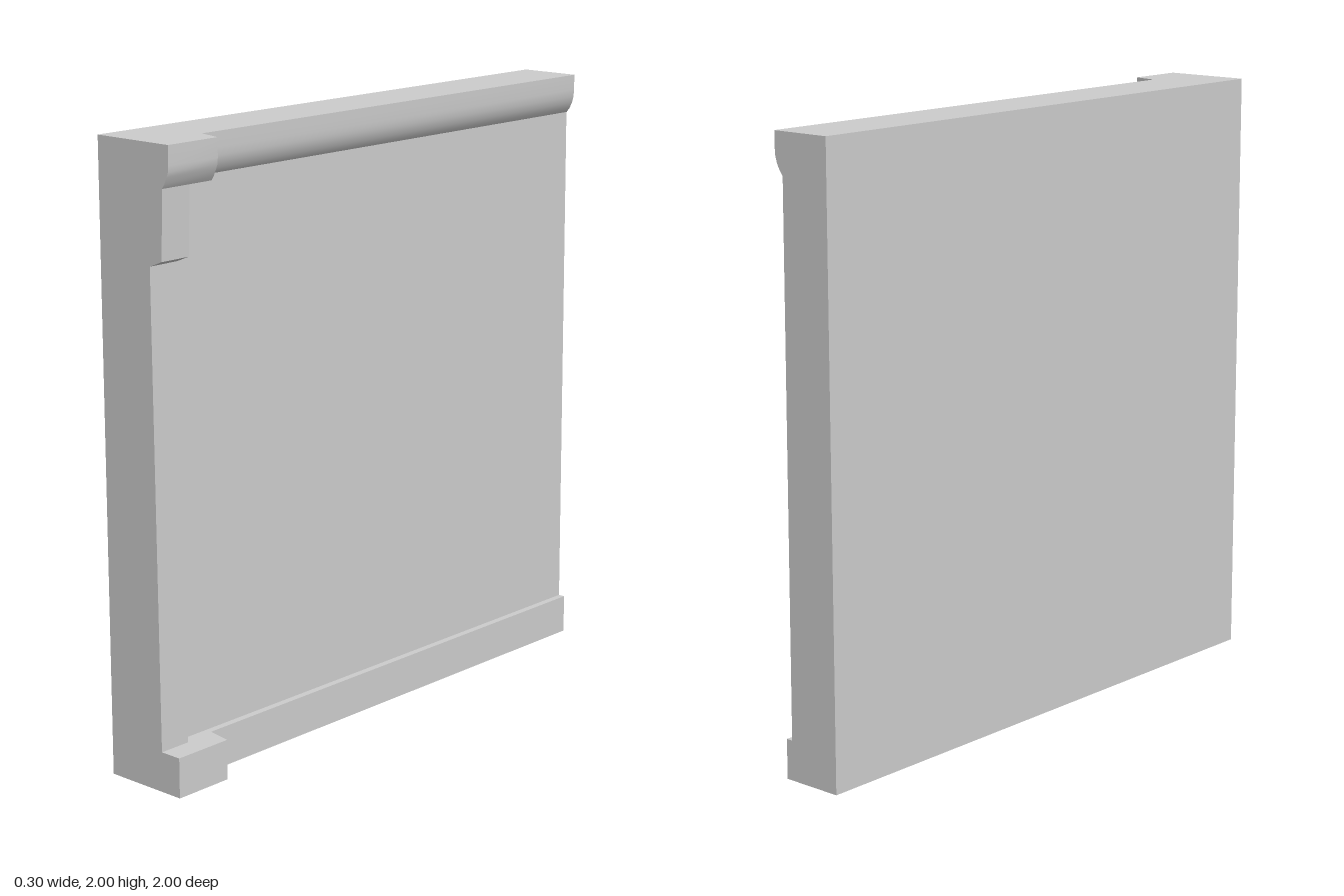
import * as THREE from 'three';
import { toCreasedNormals } from 'three/addons/utils/BufferGeometryUtils.js';

// Extrude an x-y outline from z0 to z1, then adjust its vertices by a rule.
function extrude(points, z0, z1, rule) {
  const shape = new THREE.Shape(points.map(([x, y]) => new THREE.Vector2(x, y)));
  const geo = new THREE.ExtrudeGeometry(shape, { depth: z1 - z0, bevelEnabled: false });
  geo.translate(0, 0, z0);
  const p = geo.attributes.position;
  const v = new THREE.Vector3();
  for (let i = 0; i < p.count; i++) {
    v.fromBufferAttribute(p, i);
    rule(v);
    p.setXYZ(i, v.x, v.y, v.z);
  }
  geo.computeVertexNormals();
  return toCreasedNormals(geo, 0.5);
}

// Band between an inner and an outer line (both bottom to top), with a splayed rear end.
function splayedBlock(outer, inner, z0) {
  const isOuter = (v) => outer.some(([x, y]) => Math.abs(x - v.x) < 1e-5 && Math.abs(y - v.y) < 1e-5);
  return extrude([...outer, ...[...inner].reverse()], z0, 1, (v) => {
    if (v.z < 0.95 && isOuter(v)) v.z += 0.02;
  });
}

export function createModel() {
  const group = new THREE.Group();
  const stone = new THREE.MeshStandardMaterial({ color: 0xcccccc });
  stone.name = 'grey stone';
  const add = (name, geo) => {
    const mesh = new THREE.Mesh(geo, stone);
    mesh.name = name;
    group.add(mesh);
  };

  // Cornice lines: shallow along the wall, deep over the pilaster
  const wallCornice = [[0.03, 1.87], [0.042, 1.885], [0.052, 1.905], [0.058, 1.925], [0.06, 1.95], [0.06, 2]];
  const deepCornice = [[0.118, 1.87], [0.128, 1.885], [0.137, 1.905], [0.143, 1.92], [0.145, 1.94], [0.145, 2]];

  // Wall with plinth and cornice; its top leans back slightly towards the front end
  add('wall', extrude(
    [[-0.15, 0], [0.06, 0], [0.06, 0.13], [0.037, 0.13], [0.029, 1.87], ...wallCornice, [-0.15, 2]],
    -1, 1,
    (v) => { if (Math.abs(v.x - 0.029) < 1e-5 && v.z > 0) v.x = 0.022; }
  ));

  // Pilaster shaft and its capital
  add('pilaster', splayedBlock(
    [[0.07, 0.13], [0.06, 1.635], [0.11, 1.655], [0.118, 1.87]],
    [[0.036, 0.13], [0.022, 1.87]],
    0.87
  ));

  // Projecting cornice and plinth at the pilaster
  add('pilasterCornice', splayedBlock(deepCornice, wallCornice, 0.78));
  add('pilasterPlinth', splayedBlock(
    [[0.145, 0], [0.145, 0.13]],
    [[0.037, 0], [0.037, 0.13]],
    0.775
  ));

  return group;
}
